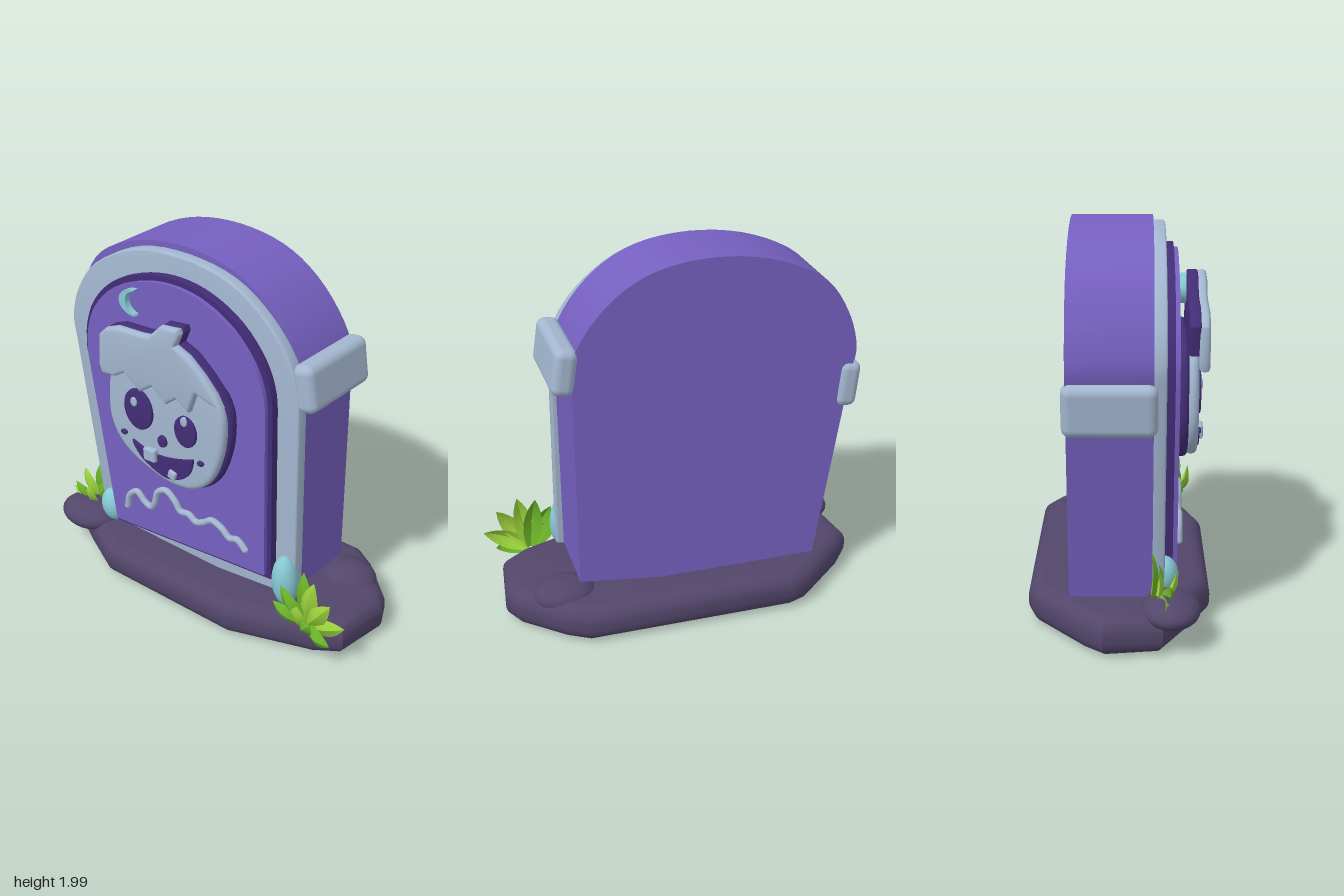
import * as THREE from 'three';
import { toCreasedNormals } from 'three/addons/utils/BufferGeometryUtils.js';
import { RoundedBoxGeometry } from 'three/addons/geometries/RoundedBoxGeometry.js';

const mat = (name, color, side = THREE.FrontSide) => {
  const m = new THREE.MeshStandardMaterial({ color, side });
  m.name = name;
  return m;
};
const vec = (pts) => pts.map(([x, y]) => new THREE.Vector2(x, y));
const smooth = (pts, n = 40) => new THREE.SplineCurve(vec(pts)).getPoints(n).map((p) => [p.x, p.y]);
const scaled = (pts, cx, cy, sx, sy) => pts.map(([x, y]) => [cx + (x - cx) * sx, cy + (y - cy) * sy]);
const ellipse = (cx, cy, rx, ry, n = 28) => Array.from({ length: n }, (_, i) => {
  const a = (i / n) * Math.PI * 2;
  return [cx + rx * Math.cos(a), cy + ry * Math.sin(a)];
});

// Closed outline extruded between two depths, with a bevel inside the outline
function slab(pts, z0, z1, bevel = 0, steps = 3) {
  const geo = new THREE.ExtrudeGeometry(new THREE.Shape(vec(pts)), {
    depth: z1 - z0 - 2 * bevel, bevelEnabled: bevel > 0, bevelThickness: bevel,
    bevelSize: bevel, bevelOffset: -bevel, bevelSegments: steps,
  });
  geo.translate(0, 0, z0 + bevel);
  return toCreasedNormals(geo, 0.62);
}

// Pointed leaf with a folded midrib, bowed forward
function leafGeometry(length, width, bow) {
  const geo = new THREE.PlaneGeometry(1, 1, 2, 8);
  const p = geo.attributes.position;
  for (let i = 0; i < p.count; i++) {
    const u = p.getX(i), t = p.getY(i) + 0.5;
    const w = width * Math.sin(Math.PI * (0.12 + 0.88 * t)) ** 0.85 || 0;
    p.setXYZ(i, u * w, t * length, bow * Math.sin(Math.PI * t * 0.85) - Math.abs(u) * w * 0.55);
  }
  return toCreasedNormals(geo, 0.5);
}

export function createModel() {
  const root = new THREE.Group();
  root.name = 'gravestone';
  const purple = mat('purple stone', 0x7560c0);
  const dark = mat('dark purple', 0x432d76);
  const grey = mat('blue grey stone', 0xa3b7d0);
  const earth = mat('dark earth', 0x52466a);
  const teal = mat('teal', 0x86c8d2);
  const lime = mat('lime leaf', 0x9bd23c, THREE.DoubleSide);
  const green = mat('green leaf', 0x6cb42a, THREE.DoubleSide);

  const add = (name, geo, material, parent = root, pos = [0, 0, 0], rotZ = 0) => {
    const m = new THREE.Mesh(geo, material);
    m.name = name;
    m.position.set(...pos);
    m.rotation.z = rotZ;
    parent.add(m);
    return m;
  };
  const ball = (name, material, pos, r, rotZ = 0) =>
    add(name, new THREE.SphereGeometry(1, 28, 18), material, root, pos, rotZ).scale.set(...r);

  // Base slab: footprint in x and z
  const footprint = [[-0.52, -0.465], [0.6, -0.46], [0.72, -0.39], [0.93, -0.2], [0.98, -0.1], [0.94, 0.2],
    [0.81, 0.29], [0.36, 0.45], [-0.49, 0.455], [-0.72, 0.34], [-0.95, 0.21], [-0.99, -0.08], [-0.9, -0.19], [-0.62, -0.43]];
  const base = slab(footprint.map(([x, z]) => [x, -z]).reverse(), 0, 0.205, 0.085, 6);
  base.rotateX(-Math.PI / 2);
  add('base', base, earth);
  ball('frontRock', earth, [-0.815, 0.19, 0.25], [0.185, 0.08, 0.145]);
  ball('backRock', earth, [0.68, 0.18, -0.2], [0.17, 0.085, 0.14]);

  // Leaning stone, its border and the recessed panel
  const body = [[-0.7, 0.1], [0.6, 0.26], ...smooth([[0.605, 1.35], [0.59, 1.56], [0.43, 1.79], [0.2, 1.94],
    [-0.1, 1.99], [-0.42, 1.95], [-0.7, 1.82], [-0.84, 1.63], [-0.9, 1.43], [-0.88, 1.3]])];
  add('stoneBody', slab(body, -0.25, 0.16), purple);
  const rim = [[-0.7, 0.105], [0.637, 0.26], ...smooth([[0.63, 1.3], [0.62, 1.43], [0.57, 1.6], [0.42, 1.78],
    [0.2, 1.915], [-0.1, 1.96], [-0.42, 1.92], [-0.7, 1.77], [-0.84, 1.59], [-0.893, 1.42], [-0.88, 1.3]])];
  add('border', slab(rim, 0.155, 0.22, 0.008), grey);
  const panel = [[-0.59, 0.235], [0.515, 0.34], ...smooth([[0.505, 1.25], [0.495, 1.42], [0.43, 1.58], [0.29, 1.73],
    [0.1, 1.825], [-0.1, 1.855], [-0.31, 1.825], [-0.53, 1.73], [-0.68, 1.58], [-0.745, 1.42], [-0.755, 1.28]])];
  add('panelEdge', slab(panel, 0.215, 0.262), dark);
  add('panel', slab(scaled(panel, -0.11, 1.05, 0.955, 0.965), 0.25, 0.285), purple);

  // Side clasps
  add('leftClasp', new RoundedBoxGeometry(0.12, 0.25, 0.49, 4, 0.045), grey, root, [0.638, 1.475, -0.027], 0.15);
  add('rightClasp', new RoundedBoxGeometry(0.12, 0.255, 0.45, 4, 0.045), grey, root, [-0.868, 1.21, -0.045], 0.1);

  // Crescent moon
  const arc = (...p) => new THREE.CubicBezierCurve(...vec(p)).getPoints(14).map((q) => [q.x, q.y]);
  const moon = [...arc([-0.34, 1.75], [-0.48, 1.745], [-0.48, 1.6], [-0.34, 1.605]),
    ...arc([-0.345, 1.615], [-0.42, 1.63], [-0.42, 1.725], [-0.345, 1.742])];
  add('moon', slab(moon, 0.28, 0.318), teal);

  // Head
  const head = new THREE.Group();
  head.name = 'head';
  root.add(head);
  const face = smooth([[-0.1, 1.42], [-0.38, 1.39], [-0.47, 1.27], [-0.49, 1.06], [-0.445, 0.925], [-0.34, 0.83],
    [-0.18, 0.77], [-0.05, 0.75], [0.09, 0.775], [0.2, 0.86], [0.265, 1], [0.295, 1.155], [0.28, 1.3],
    [0.18, 1.4], [-0.1, 1.42]], 56).slice(0, -1);
  add('faceBacking', slab(scaled(face, -0.1, 1.09, 1.03, 1.04), 0.28, 0.337, 0.02), dark, head);
  add('face', slab(face, 0.33, 0.387, 0.025), grey, head);

  // Hair with a tuft and a jagged fringe
  const hair = [[-0.485, 1.51], [-0.44, 1.555], [-0.365, 1.585], [-0.2, 1.595], [-0.14, 1.605], [-0.065, 1.68],
    [0.05, 1.695], [0.06, 1.67], [0.03, 1.6], [0.11, 1.57], [0.2, 1.5], [0.28, 1.42], [0.32, 1.35], [0.24, 1.36],
    [0.155, 1.385], [0.11, 1.26], [0.03, 1.31], [-0.04, 1.255], [-0.13, 1.325], [-0.215, 1.265], [-0.32, 1.34],
    [-0.39, 1.295], [-0.48, 1.285], [-0.497, 1.34]];
  add('hairBacking', slab([...hair.slice(0, 15), [-0.46, 1.36]], 0.335, 0.395, 0.012), dark, head);
  add('hair', slab(hair, 0.385, 0.438, 0.02), grey, head);

  // Eyes, nose, cheek dots: centre x, y, radius x, y
  for (const [name, x, y, rx, ry] of [['rightEye', -0.262, 1.133, 0.097, 0.117], ['leftEye', 0.058, 1.117, 0.072, 0.088],
    ['nose', -0.102, 1, 0.029, 0.034], ['rightCheekDot', -0.373, 0.957, 0.021, 0.014], ['leftCheekDot', 0.155, 0.967, 0.02, 0.014]]) {
    add(name, slab(ellipse(x, y, rx, ry), 0.38, 0.403, 0.006), dark, head);
  }
  for (const [x, y] of [[-0.283, 1.175], [0.058, 1.18]]) {
    add('eyeGlint', slab(ellipse(x, y, 0.021, 0.026), 0.395, 0.412, 0.004), grey, head);
  }
  const mouth = [...smooth([[0.105, 0.97], [0.01, 0.935], [-0.095, 0.91], [-0.2, 0.905], [-0.31, 0.935]], 14),
    ...smooth([[-0.305, 0.915], [-0.26, 0.86], [-0.18, 0.815], [-0.07, 0.79], [0.03, 0.825], [0.085, 0.88], [0.107, 0.955]], 18)];
  add('mouth', slab(mouth, 0.38, 0.4), dark, head);
  add('bigTooth', new RoundedBoxGeometry(0.082, 0.075, 0.04, 3, 0.012), grey, head, [-0.178, 0.897, 0.402], 0.06);
  add('smallTooth', new RoundedBoxGeometry(0.05, 0.048, 0.036, 3, 0.01), grey, head, [-0.028, 0.832, 0.4], -0.25);

  // Wavy carved line
  const wave = [[-0.467, 0.4], [-0.45, 0.475], [-0.39, 0.523], [-0.335, 0.48], [-0.29, 0.465], [-0.26, 0.51],
    [-0.24, 0.58], [-0.175, 0.618], [-0.115, 0.58], [-0.075, 0.53], [-0.015, 0.535], [0.035, 0.508], [0.09, 0.53],
    [0.145, 0.566], [0.215, 0.545], [0.265, 0.508], [0.32, 0.52], [0.37, 0.48]].map(([x, y]) => new THREE.Vector3(x, y, 0.297));
  add('wavyLine', new THREE.TubeGeometry(new THREE.CatmullRomCurve3(wave), 110, 0.018, 10), grey);
  for (const p of [wave[0], wave[wave.length - 1]]) {
    add('wavyLineEnd', new THREE.SphereGeometry(0.018, 12, 8), grey, root, p.toArray());
  }

  // Egg-shaped pebbles
  ball('rightPebble', teal, [-0.65, 0.295, 0.22], [0.078, 0.1, 0.07], 0.2);
  ball('leftPebble', teal, [0.588, 0.355, 0.235], [0.07, 0.145, 0.073], 0.08);

  // Leaf tufts: each leaf is tip offset x, y and forward lean
  const tuft = (name, pos, width, leaves) => {
    const g = new THREE.Group();
    g.name = name;
    g.position.set(...pos);
    root.add(g);
    leaves.forEach(([dx, dy, lean], i) => {
      const leaf = add('leaf', leafGeometry(Math.hypot(dx, dy), width, 0.045), i % 2 ? lime : green, g,
        [dx * 0.05, 0, lean * 0.12], Math.atan2(-dx, dy));
      leaf.rotation.order = 'ZXY';
      leaf.rotation.x = lean;
    });
  };
  tuft('rightLeaves', [-0.82, 0.22, 0.17], 0.095, [[0.016, 0.265, -0.1], [-0.085, 0.2, 0], [0.1, 0.18, 0],
    [-0.155, 0.06, 0.1], [-0.11, 0.13, 0.2], [0.03, 0.17, 0.3]]);
  tuft('leftLeaves', [0.765, 0.19, 0.29], 0.105, [[-0.035, 0.3, -0.1], [0.055, 0.3, 0], [-0.13, 0.21, 0.05],
    [0.165, 0.225, 0.05], [-0.17, 0.1, 0.1], [0.24, 0.11, 0], [0.18, -0.02, 0.1], [0.01, 0.19, 0.25], [0.1, 0.12, 0.3]]);

  return root;
}
